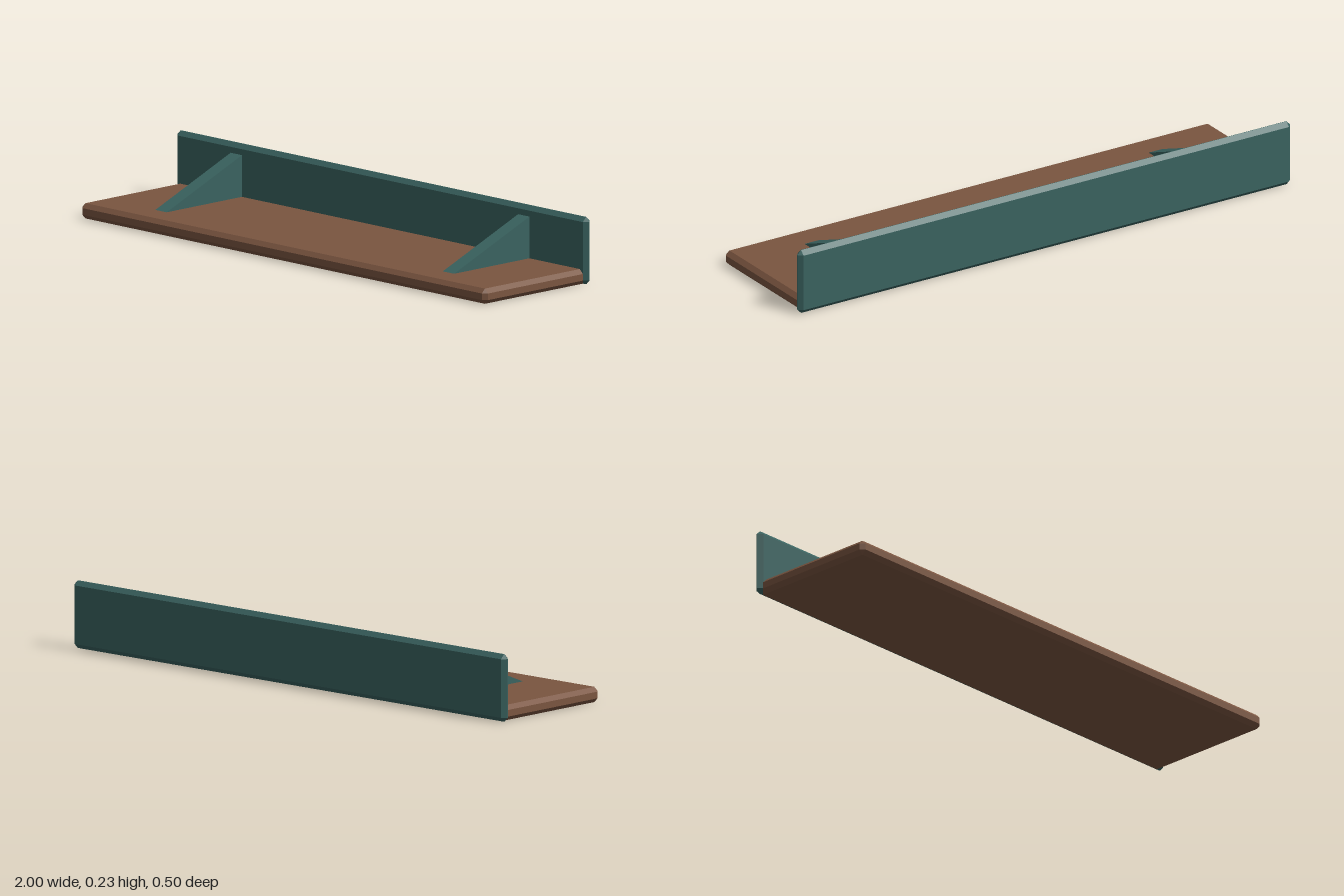
import * as THREE from 'three';
import { ConvexGeometry } from 'three/addons/geometries/ConvexGeometry.js';

// Box with every edge cut by a flat chamfer c, given by its min and max corners
function chamferBox(min, max, c) {
  const center = min.map((v, i) => (v + max[i]) / 2);
  const half = min.map((v, i) => (max[i] - v) / 2);
  const points = [];
  for (const sx of [-1, 1]) for (const sy of [-1, 1]) for (const sz of [-1, 1]) {
    const s = [sx, sy, sz];
    for (let full = 0; full < 3; full++) {
      points.push(new THREE.Vector3(
        ...s.map((sign, i) => center[i] + sign * (half[i] - (i === full ? 0 : c)))));
    }
  }
  return new ConvexGeometry(points);
}

export function createModel() {
  const wood = new THREE.MeshStandardMaterial({ color: 0x7a5540 });
  wood.name = 'brown wood';
  const teal = new THREE.MeshStandardMaterial({ color: 0x3a6360 });
  teal.name = 'dark teal paint';

  const group = new THREE.Group();
  group.name = 'wallShelf';
  const add = (name, geometry, material) => {
    const mesh = new THREE.Mesh(geometry, material);
    mesh.name = name;
    group.add(mesh);
    return mesh;
  };

  // Shelf board, its rear edge hidden just inside the back panel
  add('shelfBoard', chamferBox([-0.985, 0, -0.248], [0.985, 0.053, 0.25], 0.015), wood);

  // Upright panel along the back
  add('backPanel', chamferBox([-1, 0, -0.25], [1, 0.234, -0.217], 0.0155), teal);

  // Triangular braces; the profile is drawn as (-z, y), then turned to run along x
  const profile = new THREE.Shape([
    [-0.142, 0.045], [0.222, 0.045], [0.222, 0.2], [-0.142, 0.053],
  ].map(([x, y]) => new THREE.Vector2(x, y)));
  const width = 0.055;
  const braceGeometry = new THREE.ExtrudeGeometry(profile, { depth: width, bevelEnabled: false });
  braceGeometry.translate(0, 0, -width / 2).rotateY(Math.PI / 2);
  for (const side of [-1, 1]) {
    add(side > 0 ? 'leftBrace' : 'rightBrace', braceGeometry, teal).position.x = side * 0.698;
  }

  return group;
}
